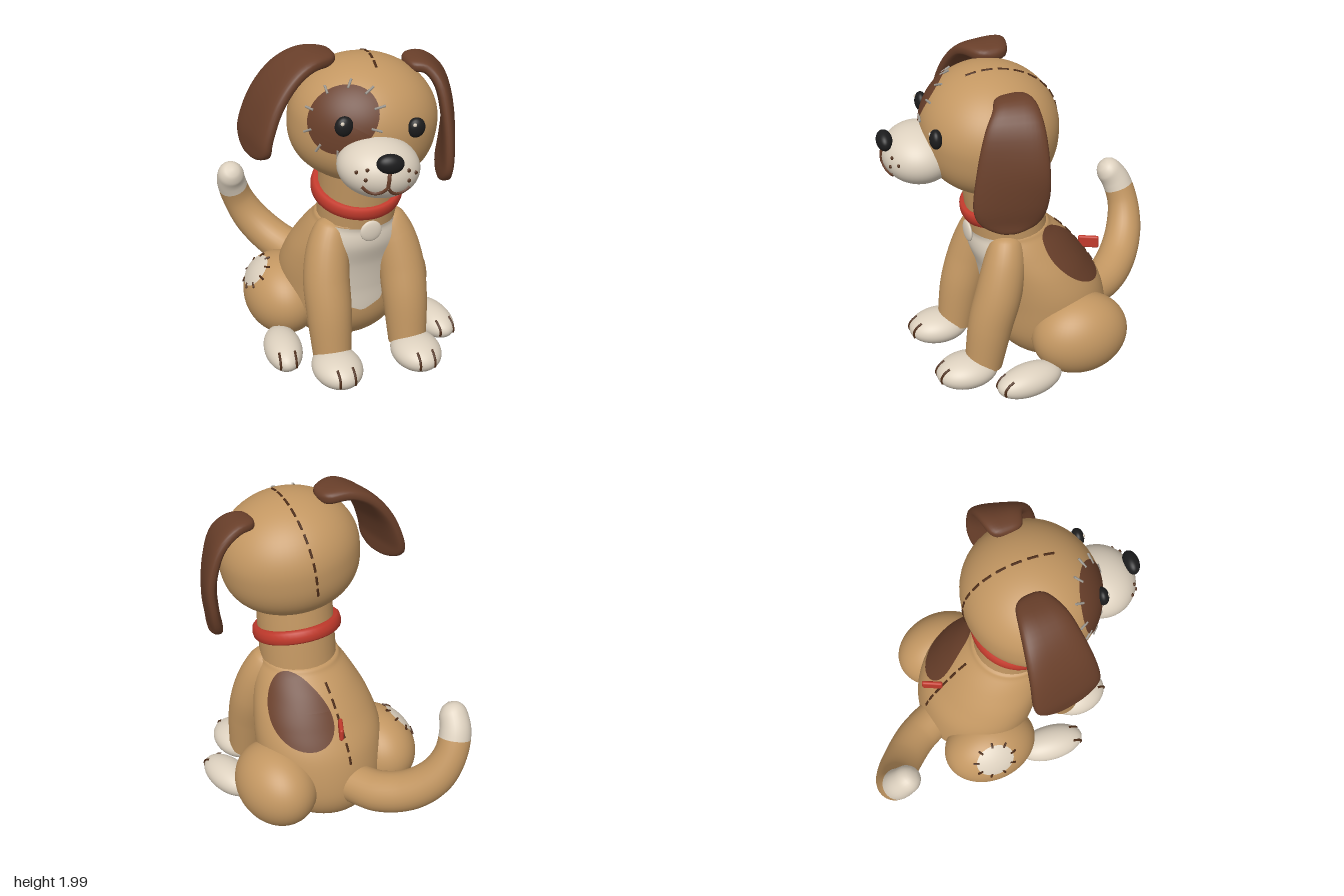
import * as THREE from 'three';
import { mergeVertices } from 'three/addons/utils/BufferGeometryUtils.js';
import { RoundedBoxGeometry } from 'three/addons/geometries/RoundedBoxGeometry.js';

const V = (x, y, z) => new THREE.Vector3(x, y, z);
const mat = (name, color) => Object.assign(new THREE.MeshStandardMaterial({ color }), { name });
const tan = mat('tan fur', 0xc39762), brown = mat('brown fur', 0x693f2a), cream = mat('cream fur', 0xddd1bf);
const red = mat('red collar', 0xc23a2c), thread = mat('dark thread', 0x4f2e19);
const black = mat('black', 0x1c1c1d), grey = mat('grey thread', 0xa09b93);

function add(parent, name, geo, material, pos = [0, 0, 0]) {
  const m = new THREE.Mesh(geo, material);
  m.name = name;
  m.position.set(...pos);
  parent.add(m);
  return m;
}
const ball = (parent, name, material, pos, r) =>
  add(parent, name, new THREE.SphereGeometry(1, 48, 32).scale(...r), material, pos);

// Smooth surface from a rule (u, v in 0..1) => point
function surface(fn, nu, nv) {
  const g = new THREE.PlaneGeometry(1, 1, nu, nv), p = g.attributes.position;
  for (let i = 0; i < p.count; i++) {
    const q = fn(p.getX(i) + 0.5, p.getY(i) + 0.5);
    p.setXYZ(i, q.x, q.y, q.z);
  }
  g.deleteAttribute('uv');
  g.deleteAttribute('normal');
  const m = mergeVertices(g, 1e-5);
  m.computeVertexNormals();
  return m;
}
const turn = u => (u === 1 ? 0 : u * Math.PI * 2);

// Round limb along points [x, y, z, radius], between fractions from..to, with an optional rounded end
function limb(pts, from = 0, to = 1, round = 0) {
  const N = 80, c = new THREE.CatmullRomCurve3(pts.map(p => V(p[0], p[1], p[2])));
  const rad = new THREE.CatmullRomCurve3(pts.map((p, i) => V(p[3], i, 0)), false, 'catmullrom');
  const f = c.computeFrenetFrames(N), a = Math.round(from * N), b = Math.round(to * N);
  return surface((u, v) => {
    const i = Math.round(a + (b - a) * v), s = i / N, t = turn(u);
    const cap = s > 1 - round ? Math.sqrt(Math.max(0, 1 - ((s - 1 + round) / round) ** 2)) : 1;
    const r = rad.getPoint(c.getUtoTmapping(s)).x * cap;
    return c.getPointAt(s).addScaledVector(f.normals[i], r * Math.cos(t)).addScaledVector(f.binormals[i], r * Math.sin(t));
  }, 28, b - a);
}

// Flat floppy ear lofted between a front edge and a back edge
function ear(front, back, thick) {
  const F = new THREE.CatmullRomCurve3(front.map(p => V(...p)), false, 'catmullrom');
  const B = new THREE.CatmullRomCurve3(back.map(p => V(...p)), false, 'catmullrom');
  const mid = t => F.getPoint(t).add(B.getPoint(t)).multiplyScalar(0.5);
  const soft = x => Math.sign(x) * Math.abs(x) ** 0.7;
  return surface((u, v) => {
    const t = 0.5 - 0.5 * Math.cos(Math.PI * v), a = turn(u);
    const k = Math.sqrt(Math.max(0, 1 - Math.abs(2 * t - 1) ** 22));
    const W = B.getPoint(t).sub(F.getPoint(t)).multiplyScalar(0.5);
    const T = mid(Math.min(1, t + 0.01)).sub(mid(Math.max(0, t - 0.01)));
    const n = T.cross(W).normalize();
    return mid(t).addScaledVector(W, k * soft(Math.cos(a))).addScaledVector(n, thick * k * soft(Math.sin(a)));
  }, 32, 36);
}

// Fuller lower half for the skull: pushes unit vectors below the equator outwards
function jowl(n) {
  return n.y < 0 ? n.multiplyScalar((Math.hypot(n.x, n.z) ** 2.6 + (-n.y) ** 2.6) ** (-1 / 2.6)) : n;
}
// Point on an ellipsoid, offset (a, b) from a chosen direction
function onBall(c, r, dir, roll = 0, shape = n => n) {
  const n = V(...dir).normalize(), u = V(0, 1, 0).cross(n).normalize(), v = n.clone().cross(u);
  u.applyAxisAngle(n, roll);
  v.applyAxisAngle(n, roll);
  return (a, b, h = 0.006) => shape(n.clone().addScaledVector(u, a).addScaledVector(v, b).normalize())
    .multiply(V(r[0] + h, r[1] + h, r[2] + h)).add(V(...c));
}
// Thin patch wrapped on a surface rule (a, b) => point
function patch(fn, ra, rb) {
  const g = new THREE.RingGeometry(0.001, 1, 40, 10), p = g.attributes.position;
  for (let i = 0; i < p.count; i++) {
    const q = fn(p.getX(i) * ra, p.getY(i) * rb);
    p.setXYZ(i, q.x, q.y, q.z);
  }
  g.computeVertexNormals();
  return g;
}
function stitch(parent, a, b, material = thread, r = 0.008) {
  const d = b.clone().sub(a), m = add(parent, 'stitch', new THREE.CylinderGeometry(r, r, d.length(), 6), material);
  m.position.copy(a).add(b).multiplyScalar(0.5);
  m.quaternion.setFromUnitVectors(V(0, 1, 0), d.normalize());
}
function ringStitches(parent, fn, ra, rb, n, material) {
  for (let i = 0; i < n; i++) {
    const a = (i + 0.3) / n * Math.PI * 2, x = Math.cos(a) * ra, y = Math.sin(a) * rb;
    stitch(parent, fn(x * 0.86, y * 0.86), fn(x * 1.22, y * 1.22), material, 0.007);
  }
}
const thinTube = (pts, r) => new THREE.TubeGeometry(new THREE.CatmullRomCurve3(pts), 20, r, 6);

// Torso cross-sections: y, z centre, x radius, z radius
const rows = [[0.005, -0.13, 0, 0], [0.012, -0.13, 0.17, 0.19], [0.08, -0.115, 0.31, 0.3], [0.23, -0.087, 0.385, 0.37],
  [0.47, -0.05, 0.4, 0.365], [0.65, 0.02, 0.37, 0.33], [0.8, 0.1, 0.31, 0.3], [0.9, 0.15, 0.255, 0.25],
  [0.945, 0.17, 0.21, 0.215], [0.955, 0.17, 0, 0]];
const axis = new THREE.CatmullRomCurve3(rows.map(r => V(r[0], r[1], 0)), false, 'catmullrom');
const size = new THREE.CatmullRomCurve3(rows.map(r => V(r[2], r[3], 0)), false, 'catmullrom');
function torsoAt(v) {
  const a = axis.getPoint(v), s = size.getPoint(v);
  return { y: a.x, z: a.y, rx: s.x, rz: s.y };
}
function torsoAtY(y) {
  let lo = 0.12, hi = 0.97;
  for (let i = 0; i < 24; i++) {
    const m = (lo + hi) / 2;
    if (torsoAt(m).y < y) lo = m; else hi = m;
  }
  return torsoAt(lo);
}
const onTorso = (phi, s, h = 0) => V((s.rx + h) * Math.sin(phi), s.y, s.z + (s.rz + h) * Math.cos(phi));

function paw(parent, name, x, z, r, yaw) {
  const g = new THREE.Group();
  g.name = name;
  g.position.set(x, r[1] + 0.005, z);
  g.rotation.y = yaw;
  parent.add(g);
  ball(g, 'foot', cream, [0, 0, 0], r);
  for (const lx of [-0.047, 0.047]) {
    const k = Math.sqrt(1 - (lx / r[0]) ** 2) * 1.005;
    const arc = [-0.25, 0, 0.25, 0.5, 0.8].map(t => V(lx, r[1] * k * Math.sin(t), r[2] * k * Math.cos(t)));
    add(g, 'toeLine', thinTube(arc, 0.008), thread);
  }
}

function makeBody() {
  const g = new THREE.Group();
  g.name = 'body';
  g.position.x = 0.03;
  add(g, 'torso', surface((u, v) => onTorso(turn(u), torsoAt(v)), 56, 60), tan);
  // Chest bib
  const edge = [[0.31, 0.015], [0.36, 0.12], [0.42, 0.137], [0.72, 0.14], [0.8, 0.16], [0.93, 0.2]];
  add(g, 'bib', surface((u, v) => {
    const y = 0.31 + 0.62 * v, i = Math.max(1, edge.findIndex(e => e[0] >= y - 1e-6));
    const w = THREE.MathUtils.mapLinear(y, edge[i - 1][0], edge[i][0], edge[i - 1][1], edge[i][1]);
    const s = torsoAtY(y);
    return onTorso(Math.asin(Math.min(0.98, w / s.rx)) * (2 * u - 1), s, 0.008);
  }, 24, 40), cream);
  // Back patch, seam and tab
  add(g, 'backPatch', patch((a, b) => onTorso(2.43 + a - b * 0.6, torsoAtY(0.74 + b), 0.008), 0.6, 0.195), brown);
  for (let i = 0; i < 6; i++) {
    const y = 0.43 + i * 0.077;
    stitch(g, onTorso(Math.PI, torsoAtY(y)), onTorso(Math.PI, torsoAtY(y + 0.05)));
  }
  add(g, 'backTab', new RoundedBoxGeometry(0.026, 0.08, 0.13, 3, 0.012), red, [0.03, 0.665, -0.36]).rotation.y = -0.5;
  // Legs
  for (const s of [-1, 1]) {
    add(g, 'frontLeg', limb([[0.15 * s, 0.95, 0.235, 0.03], [0.17 * s, 0.9, 0.245, 0.095], [0.21 * s, 0.78, 0.275, 0.125],
      [0.24 * s, 0.6, 0.325, 0.138], [0.245 * s, 0.4, 0.383, 0.135], [0.245 * s, 0.12, 0.435, 0.115]]), tan);
    paw(g, 'frontPaw', 0.255 * s, 0.545, [0.148, 0.1, 0.192], 0);
    ball(g, 'haunch', tan, [0.365 * s, 0.258, -0.15], [0.235, 0.253, 0.303]);
    paw(g, 'hindPaw', 0.49 * s, 0.235, [0.115, 0.095, 0.215], 0.15 * s);
  }
  const hip = onBall([-0.365, 0.258, -0.15], [0.235, 0.253, 0.303], [-0.72, 0.7, -0.13]);
  add(g, 'hipPatch', patch(hip, 0.43, 0.47), cream);
  ringStitches(g, hip, 0.43, 0.47, 9, thread);
  return g;
}

function makeHead() {
  const g = new THREE.Group(), R = [0.428, 0.354, 0.4];
  g.name = 'head';
  g.position.set(0.03, 1.598, 0.277);
  g.rotation.set(0, -0.13, -0.12);
  add(g, 'skull', surface((u, v) => {
    const t = turn(u), e = (v - 0.5) * Math.PI;
    return jowl(V(Math.cos(e) * Math.sin(t), Math.sin(e), Math.cos(e) * Math.cos(t))).multiply(V(...R));
  }, 56, 40), tan);
  // Muzzle, nose and mouth
  const mr = [0.23, 0.165, 0.215], mz = 0.41, my = -0.13;
  const face = (x, y) => V(x, y, mz + 0.002 + mr[2] * Math.sqrt(1 - (x / mr[0]) ** 2 - ((y - my) / mr[1]) ** 2));
  ball(g, 'muzzle', cream, [0, my, mz], mr);
  ball(g, 'nose', black, [0, -0.027, 0.605], [0.076, 0.055, 0.046]);
  add(g, 'mouthLine', thinTube([face(0, -0.05), face(0, -0.1), face(0, -0.16)], 0.011), brown);
  for (const s of [-1, 1]) {
    const smile = [[0, -0.16], [0.03, -0.193], [0.065, -0.206], [0.1, -0.197], [0.133, -0.172]];
    add(g, 'smile', thinTube(smile.map(p => face(p[0] * s, p[1])), 0.01), brown);
    for (const [x, y] of [[0.115, -0.075], [0.165, -0.1], [0.12, -0.128]])
      ball(g, 'freckle', thread, face(x * s, y).toArray(), [0.011, 0.011, 0.008]);
    ball(g, 'eye', black, [0.203 * s, 0.073, 0.352], [0.051, 0.058, 0.036]);
    ball(g, 'eyeGlint', cream, [0.203 * s - 0.018, 0.098, 0.381], [0.011, 0.011, 0.007]);
  }
  // Eye patch
  const brow = onBall([0, 0, 0], R, [-0.51, 0.28, 0.81], -0.35, jowl);
  add(g, 'eyePatch', patch(brow, 0.5, 0.64), brown);
  ringStitches(g, brow, 0.5, 0.64, 10, grey);
  // Crown seam
  const arc = t => jowl(V(0, Math.sin(t), Math.cos(t))).multiply(V(...R));
  for (let i = 0; i < 10; i++) stitch(g, arc(1.22 + i * 0.235), arc(1.375 + i * 0.235));
  return g;
}

export function createModel() {
  const dog = new THREE.Group();
  dog.name = 'sittingDog';
  dog.add(makeBody(), makeHead());

  // Neck, collar and tag
  add(dog, 'neck', limb([[0.035, 0.86, 0.165, 0.235], [0.035, 1.1, 0.195, 0.234], [0.03, 1.36, 0.23, 0.23]]), tan);
  const band = [[0.225, -0.04], [0.255, -0.042], [0.268, -0.03], [0.273, 0], [0.268, 0.03], [0.255, 0.042], [0.225, 0.04]];
  const collar = add(dog, 'collar', new THREE.LatheGeometry(band.map(p => new THREE.Vector2(...p)), 48), red, [0.032, 1.105, 0.19]);
  collar.rotation.x = 0.29;
  ball(dog, 'tag', cream, [0.03, 0.917, 0.425], [0.066, 0.066, 0.018]);

  // Ears: one hanging, one flung outwards
  add(dog, 'leftEar', ear(
    [[0.28, 1.86, 0.35], [0.38, 1.85, 0.39], [0.435, 1.75, 0.46], [0.455, 1.55, 0.515], [0.46, 1.33, 0.545], [0.465, 1.22, 0.51], [0.495, 1.15, 0.41]],
    [[0.29, 1.875, 0.165], [0.43, 1.865, 0.15], [0.55, 1.76, 0.15], [0.615, 1.55, 0.15], [0.6, 1.36, 0.15], [0.56, 1.22, 0.19], [0.53, 1.15, 0.3]], 0.04), brown);
  // [front edge, back edge] pairs of x, y, z
  const flung = [[[-0.11, 1.935, 0.27], [-0.11, 1.935, 0.09]], [[-0.27, 1.935, 0.33], [-0.27, 1.95, 0.05]],
    [[-0.39, 1.865, 0.36], [-0.41, 1.885, 0.02]], [[-0.495, 1.735, 0.39], [-0.525, 1.745, 0]], [[-0.56, 1.58, 0.41], [-0.595, 1.575, -0.01]],
    [[-0.575, 1.48, 0.395], [-0.61, 1.48, 0.02]], [[-0.585, 1.42, 0.3], [-0.605, 1.42, 0.13]]];
  add(dog, 'rightEar', ear(flung.map(p => p[1]), flung.map(p => p[0]), 0.045), brown);

  // Tail with pale tip
  const tail = [[-0.01, 0.25, -0.38, 0.125], [-0.09, 0.265, -0.56, 0.126], [-0.21, 0.33, -0.71, 0.124], [-0.32, 0.45, -0.805, 0.115],
    [-0.4, 0.6, -0.835, 0.1], [-0.45, 0.745, -0.805, 0.094], [-0.465, 0.825, -0.755, 0.085], [-0.47, 0.88, -0.7, 0.078]];
  add(dog, 'tail', limb(tail, 0, 0.8), tan);
  add(dog, 'tailTip', limb(tail, 0.8, 1, 0.075), cream);
  return dog;
}
